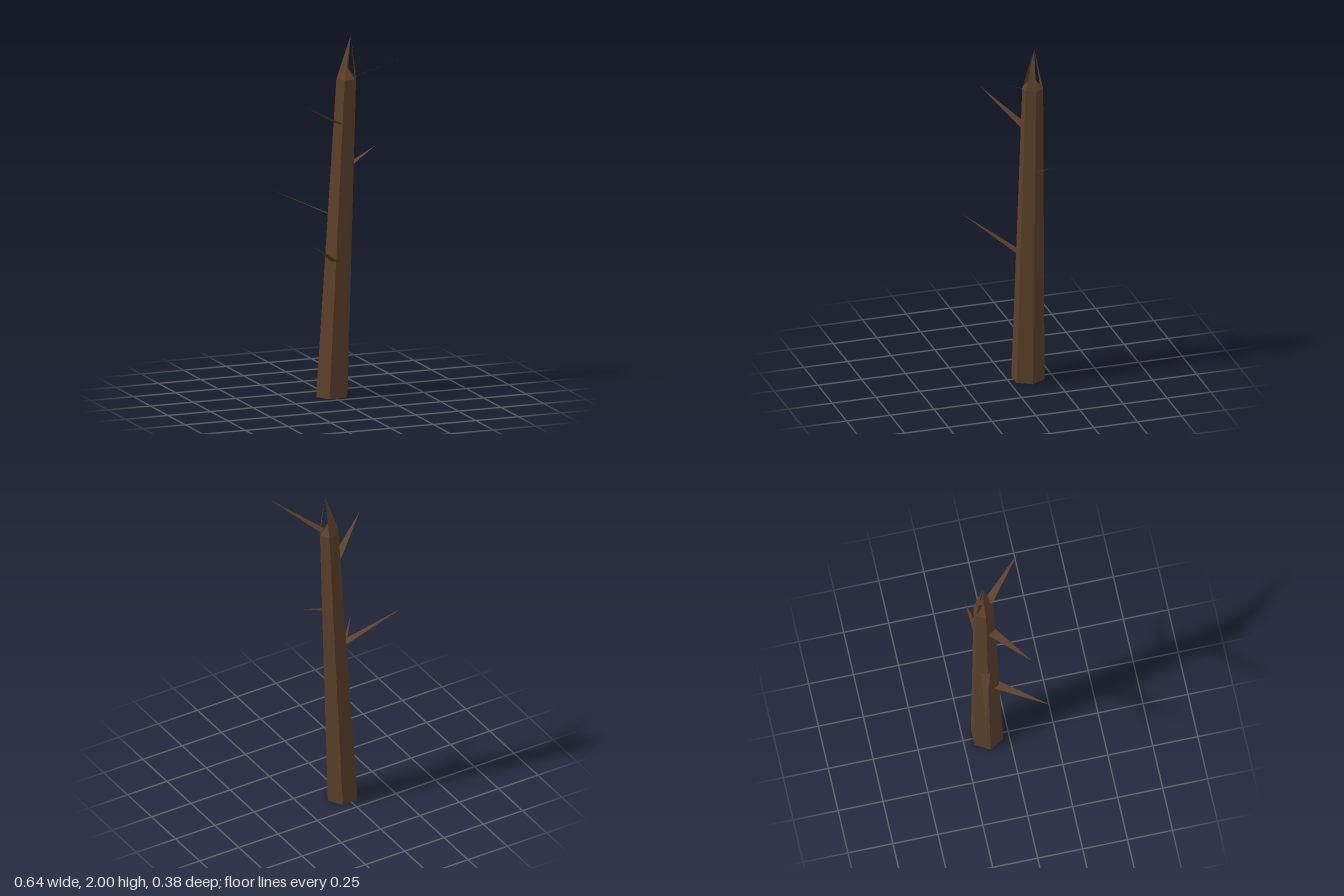
import * as THREE from 'three';

const bark = new THREE.MeshStandardMaterial({
  color: 0x5c402a, flatShading: true, side: THREE.DoubleSide,
});

// Mesh from a list of triangles, each three Vector3 corners
function facetMesh(name, triangles) {
  const geometry = new THREE.BufferGeometry().setFromPoints(triangles.flat());
  geometry.computeVertexNormals();
  const mesh = new THREE.Mesh(geometry, bark);
  mesh.name = name;
  return mesh;
}

// Hexagonal ring with corners on +x and -x
function ring(x, y, z, radius) {
  return Array.from({ length: 6 }, (_, i) => {
    const a = (i * Math.PI) / 3;
    return new THREE.Vector3(x + radius * Math.cos(a), y, z + radius * Math.sin(a));
  });
}

// Flat, pointed twig: a triangle with a level base edge across its direction
function twig(base, tip, width) {
  const b = new THREE.Vector3(...base);
  const t = new THREE.Vector3(...tip);
  const side = new THREE.Vector3(b.z - t.z, 0, t.x - b.x).setLength(width / 2);
  return facetMesh('branch', [[b.clone().add(side), b.clone().sub(side), t]]);
}

export function createModel() {
  const group = new THREE.Group();
  group.name = 'deadTree';

  const bottom = ring(0.009, 0, -0.115, 0.092);
  const top = ring(0.093, 1.76, -0.115, 0.058);
  const tallTip = new THREE.Vector3(0.12, 2, -0.115);
  const lowTip = new THREE.Vector3(0.093, 1.83, -0.115);

  // Leaning open trunk, and a splintered top of alternating tall and low shards
  const walls = [];
  const shards = [];
  for (let i = 0; i < 6; i++) {
    const j = (i + 1) % 6;
    walls.push([bottom[i], top[i], top[j]], [bottom[i], top[j], bottom[j]]);
    shards.push([top[i], i % 2 ? lowTip : tallTip, top[j]]);
  }
  group.add(facetMesh('trunk', walls), facetMesh('brokenTop', shards));

  // Bare branches: base, tip, base width
  const branches = [
    [[0.01, 0.755, -0.065], [-0.23, 0.92, 0.19], 0.05],
    [[0.0, 1.01, -0.125], [-0.32, 1.16, -0.195], 0.05],
    [[0.125, 1.275, -0.137], [0.295, 1.36, -0.177], 0.045],
    [[0.045, 1.515, -0.085], [-0.23, 1.67, 0.09], 0.055],
    [[0.12, 1.765, -0.09], [0.32, 1.91, 0.127], 0.05],
  ];
  for (const b of branches) group.add(twig(...b));

  return group;
}
